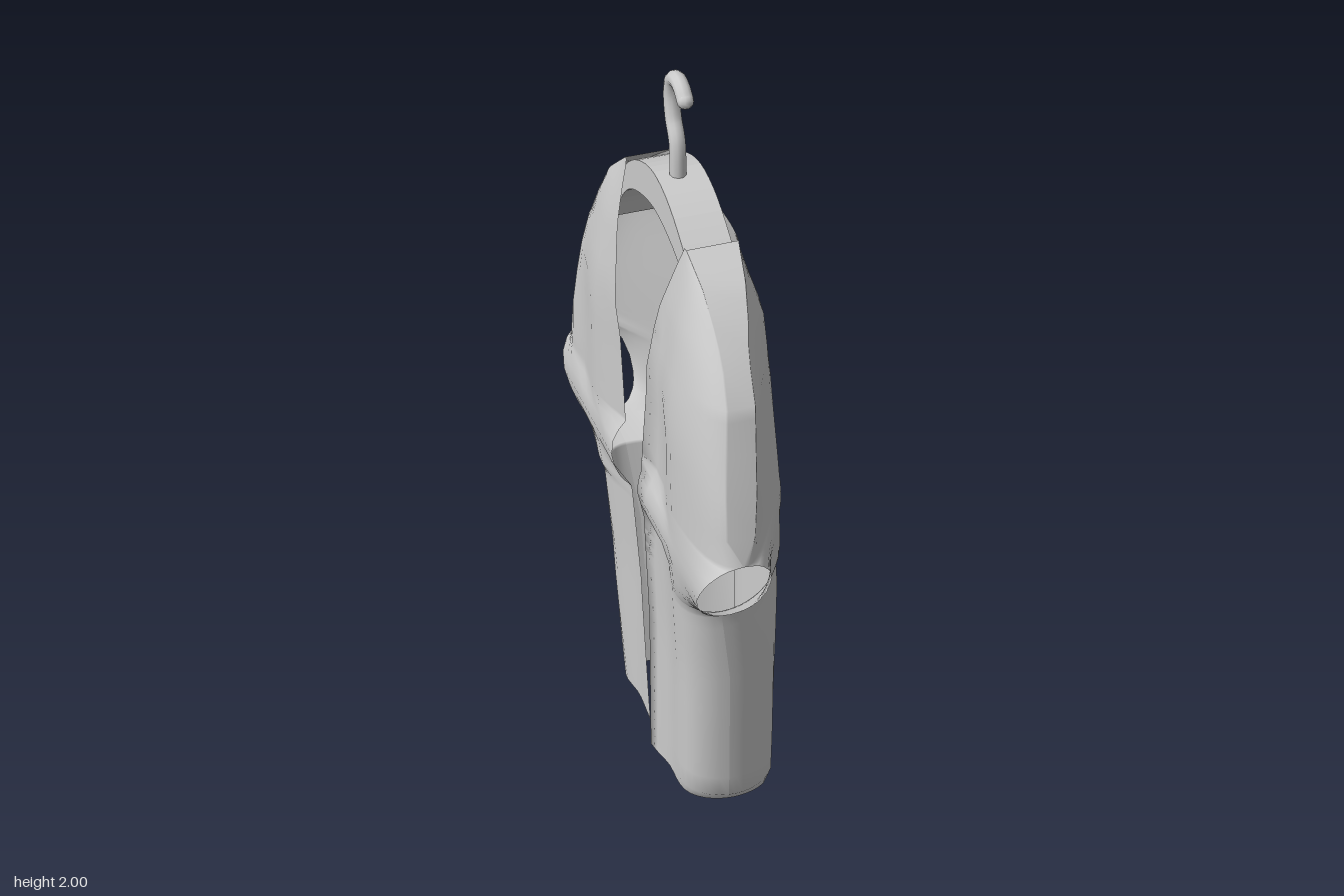
import * as THREE from 'three';

const cloth = new THREE.MeshStandardMaterial({ color: 0xcccccc, side: THREE.DoubleSide });
const solid = new THREE.MeshStandardMaterial({ color: 0xcccccc });

// Interpolates a table of [position, value] pairs, optionally with eased steps
function table(pairs, t, ease = false) {
  if (t <= pairs[0][0]) return pairs[0][1];
  for (let i = 1; i < pairs.length; i++) {
    const [a, va] = pairs[i - 1], [b, vb] = pairs[i];
    if (t <= b) {
      const s = (t - a) / (b - a);
      return va + (vb - va) * (ease ? s * s * (3 - 2 * s) : s);
    }
  }
  return pairs[pairs.length - 1][1];
}

// Half widths by height, for the +z and -z sides
const WIDTH_POS = [[0, 0.31], [0.05, 0.345], [0.4, 0.365], [0.72, 0.385], [0.75, 0.4], [0.79, 0.465], [1.03, 0.588],
  [1.2, 0.555], [1.41, 0.505], [1.48, 0.46], [1.56, 0.395], [1.62, 0.33], [1.67, 0.235]];
const WIDTH_NEG = [[0, 0.262], [0.4, 0.31], [0.73, 0.35], [0.75, 0.465], [0.97, 0.583], [1.2, 0.52], [1.38, 0.465],
  [1.48, 0.41], [1.56, 0.35], [1.62, 0.27], [1.67, 0.2]];
const CUFF_POS = [0.79, 1.03], CUFF_NEG = [0.75, 0.97];

// Depth of the middle layer, the closed face and the open face
const MIDDLE = [[0, -0.05], [0.5, -0.06], [0.9, -0.11], [1.1, -0.11], [1.5, -0.08], [1.67, -0.06]];
const FOLD_A = [[0, 0.205], [0.7, 0.172], [1.1, 0.135], [1.5, 0.09], [1.67, 0.025]];
const FOLD_B = [[0, 0.045], [0.2, 0.07], [1, 0.075], [1.5, 0.055], [1.67, 0.01]];
const FOLD_C = [[0, 0.11], [1, 0.11], [1.5, 0.075], [1.67, 0.02]];
const OPEN_FACE = [[0, -0.18], [0.5, -0.182], [0.95, -0.2], [1.3, -0.2], [1.5, -0.17], [1.67, -0.13]];
const OPEN_WAVE = [[-0.5, 0], [-0.4, 0.02], [-0.26, 0.008], [-0.12, 0.045], [0, 0.04], [0.07, 0.01], [0.17, 0.03], [0.35, 0]];
const ROUNDING = [[0.68, 6], [0.9, 4], [1.2, 2.7], [1.6, 2.2]];

// Edges of the slit
const SLIT_POS = [[0, 0.075], [1, 0.09], [1.45, 0.14], [1.67, 0.225]];
const SLIT_NEG = [[0, -0.02], [0.8, -0.12], [1.4, -0.165], [1.67, -0.19]];

// Half thickness left at the outer edge: round cuffs and blunt shoulders
function edgeThickness(y, [lo, hi]) {
  const t = (y - lo) / (hi - lo);
  if (t <= 0) return 0;
  if (t <= 1) return 0.09 * (4 * t * (1 - t)) ** 0.45;
  return table([[hi, 0.03], [1.2, 0.035], [1.5, 0.03], [1.62, 0.05], [1.67, 0.062]], y);
}

function surfaceX(y, z, front) {
  const c = table(MIDDLE, y);
  const u = Math.min(1, Math.abs(z) / table(z > 0 ? WIDTH_POS : WIDTH_NEG, y));
  const h = edgeThickness(y, z > 0 ? CUFF_POS : CUFF_NEG);
  const a = table(FOLD_A, y), b = table(FOLD_B, y), f = table(FOLD_C, y);
  const face = front
    ? table([[-0.52, Math.min(a, 0.01)], [-0.17, a], [0.05, b], [0.27, f], [0.55, Math.min(f, 0)]], z, Math.abs(z) < 0.27)
    : table(OPEN_FACE, y) + table(OPEN_WAVE, z, true) * table([[1.2, 1], [1.67, 0.2]], y);
  const d = Math.max(Math.abs(face - c), h);
  const p = front ? table(ROUNDING, y) : 6;
  const reach = Math.sqrt(h * h + (d * d - h * h) * (1 - u ** p));
  return c + (front ? reach : -reach);
}

// Gown: stacked C-shaped sections, left open at slit, cuffs, neck and hem
function gownGeometry() {
  const rows = [0, 0.05, 0.12, 0.2, 0.3, 0.4, 0.5, 0.6, 0.68, 0.72, 0.73, 0.75, 0.757, 0.77, 0.79, 0.797, 0.81, 0.83,
    0.87, 0.91, 0.94, 0.96, 0.97, 0.985, 1.01, 1.022, 1.03, 1.1, 1.2, 1.3, 1.38, 1.41, 1.48, 1.52, 1.56, 1.59, 1.62,
    1.645, 1.67];
  const side = 12, front = 36;
  const positions = [], indices = [];
  let count = 0;
  for (const y of rows) {
    const wp = table(WIDTH_POS, y), wn = table(WIDTH_NEG, y);
    const sp = table(SLIT_POS, y), sn = table(SLIT_NEG, y);
    const edgeX = surfaceX(y, sp, false);
    const section = [];
    // inward fold of the slit edge
    const fold = table([[1.2, 1], [1.67, 0]], y);
    section.push([edgeX + 0.065 * fold, sp + 0.12 * fold], [edgeX + 0.05 * fold, sp + 0.015 * fold]);
    for (let i = 0; i <= side; i++) {
      const z = sp + (wp - sp) * Math.sin((i / side) * Math.PI / 2);
      section.push([surfaceX(y, z, false), z]);
    }
    for (let i = 0; i <= front; i++) {
      const s = Math.cos((i / front) * Math.PI);
      const z = s > 0 ? s * wp : s * wn;
      section.push([surfaceX(y, z, true), z]);
    }
    for (let i = side; i >= 0; i--) {
      const z = sn - (wn + sn) * Math.sin((i / side) * Math.PI / 2);
      section.push([surfaceX(y, z, false), z]);
    }
    count = section.length;
    // the hem slants down towards the closed face
    const hem = Math.max(0, 1 - y / 0.4);
    for (const [x, z] of section) positions.push(x, y + (0.037 - 0.185 * x) * hem, z);
  }
  const wallPos = side + 2, wallNeg = wallPos + front + 1;
  for (let r = 0; r < rows.length - 1; r++) {
    const mid = (rows[r] + rows[r + 1]) / 2;
    const inside = ([lo, hi]) => mid > lo && mid < hi;
    for (let j = 0; j < count - 1; j++) {
      if ((j === wallPos && inside(CUFF_POS)) || (j === wallNeg && inside(CUFF_NEG))) continue;
      const a = r * count + j, b = a + 1, c = a + count, d = c + 1;
      indices.push(a, b, c, b, d, c);
    }
  }
  const geometry = new THREE.BufferGeometry();
  geometry.setAttribute('position', new THREE.Float32BufferAttribute(positions, 3));
  geometry.setIndex(indices);
  geometry.computeVertexNormals();
  return geometry;
}

// Hanger: an arched bar across the shoulders
function hangerGeometry() {
  const top = [[-0.34, 1.47], [-0.27, 1.57], [-0.19, 1.66], [-0.1, 1.715], [0, 1.74], [0.1, 1.72], [0.2, 1.66],
    [0.29, 1.58], [0.36, 1.47]];
  const under = [[0.32, 1.45], [0.25, 1.54], [0.15, 1.61], [0, 1.645], [-0.15, 1.61], [-0.24, 1.54], [-0.3, 1.45]];
  const smooth = (points) => new THREE.SplineCurve(points.map(([z, y]) => new THREE.Vector2(-z, y))).getPoints(28);
  const shape = new THREE.Shape([...smooth(top), ...smooth(under)]);
  const geometry = new THREE.ExtrudeGeometry(shape, { depth: 0.115, bevelEnabled: false });
  geometry.rotateY(Math.PI / 2);
  geometry.translate(-0.12, 0, 0);
  return geometry;
}

export function createModel() {
  const group = new THREE.Group();
  const add = (name, geometry, material, parent = group) => {
    const mesh = new THREE.Mesh(geometry, material);
    mesh.name = name;
    parent.add(mesh);
    return mesh;
  };
  add('gown', gownGeometry(), cloth);

  const hanger = new THREE.Group();
  hanger.name = 'hanger';
  group.add(hanger);
  add('hangerBar', hangerGeometry(), solid, hanger);

  // Hook
  const path = new THREE.CatmullRomCurve3([[1.7, 0.022], [1.82, 0.018], [1.87, -0.008], [1.93, -0.018], [1.968, -0.004],
    [1.98, 0.025], [1.972, 0.055], [1.955, 0.075]].map(([y, z]) => new THREE.Vector3(-0.068, y, z)));
  add('hook', new THREE.TubeGeometry(path, 32, 0.02, 10), solid, hanger);
  const tip = add('hookTip', new THREE.SphereGeometry(0.02, 10, 8), solid, hanger);
  tip.position.set(-0.068, 1.955, 0.075);
  return group;
}
